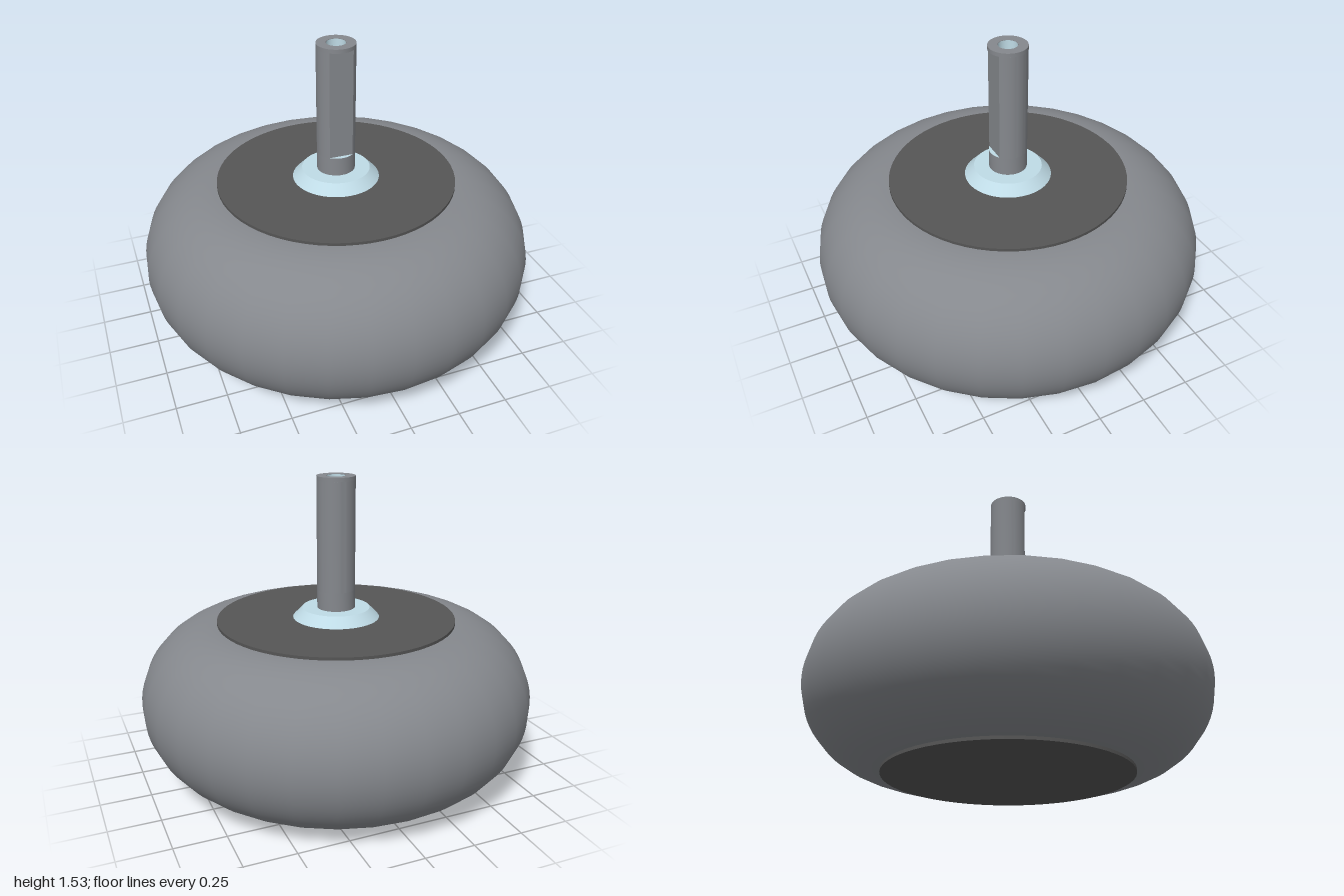
import * as THREE from 'three';
import { toCreasedNormals, mergeGeometries } from 'three/addons/utils/BufferGeometryUtils.js';

const mat = (color) => new THREE.MeshStandardMaterial({ color });

function add(group, name, geometry, material) {
  const mesh = new THREE.Mesh(geometry, material);
  mesh.name = name;
  group.add(mesh);
  return mesh;
}

const SHAFT_R = 0.096, BORE_R = 0.048, FLAT_Z = 0.075;
const FLAT_ANGLE = Math.acos(FLAT_Z / SHAFT_R);

// Vertical slice of the shaft; flat slices have the front (+z) cut away
function shaftSlice(y0, y1, flat, bored) {
  const shape = new THREE.Shape();
  // shape -y becomes model +z once the slice is stood upright
  const cut = flat ? FLAT_ANGLE : 0;
  shape.absarc(0, 0, SHAFT_R, -Math.PI / 2 + cut, Math.PI * 1.5 - cut, false);
  if (bored) {
    const hole = new THREE.Path();
    hole.absarc(0, 0, BORE_R, 0, Math.PI * 2, true);
    shape.holes.push(hole);
  }
  const geo = new THREE.ExtrudeGeometry(shape, { depth: y1 - y0, bevelEnabled: false, curveSegments: 24 });
  geo.rotateX(-Math.PI / 2);
  geo.translate(0, y0, 0);
  return toCreasedNormals(geo, 0.5);
}

export function createModel() {
  const model = new THREE.Group();
  model.name = 'wheelWithAxle';
  const grey = mat(0x85888d), dark = mat(0x555555), blue = mat(0xbfdbe6);

  // Rounded tyre, lying flat
  const profile = [new THREE.Vector2(0, 0.015)];
  for (let i = 0; i <= 32; i++) {
    const a = -Math.PI / 2 + (Math.PI * i) / 32;
    profile.push(new THREE.Vector2(0.6 + 0.4 * Math.cos(a), 0.408 + 0.393 * Math.sin(a)));
  }
  profile.push(new THREE.Vector2(0, 0.801));
  add(model, 'tyre', new THREE.LatheGeometry(profile, 32), grey);

  // Thin hub discs on both faces
  for (const [name, y] of [['lowerHubDisc', 0.0075], ['upperHubDisc', 0.8075]]) {
    add(model, name, new THREE.CylinderGeometry(0.606, 0.606, 0.015, 64), dark).position.y = y;
  }

  // Tapered collar under the shaft
  add(model, 'collar', new THREE.CylinderGeometry(0.172, 0.22, 0.05, 48), blue).position.y = 0.84;

  // Hollow shaft with a flat milled in its front
  const shaft = mergeGeometries([
    shaftSlice(0.865, 0.96, false, true),
    shaftSlice(0.96, 1.51, true, true),
    shaftSlice(1.51, 1.53, false, true),
  ]);
  add(model, 'shaft', shaft, grey);

  // Bore lining, facing inwards, down to the collar
  const bore = new THREE.LatheGeometry([
    new THREE.Vector2(BORE_R - 0.001, 1.529),
    new THREE.Vector2(BORE_R - 0.001, 0.866),
  ], 48);
  add(model, 'boreLining', bore, blue);

  // Ledge at the foot of the flat
  const segment = new THREE.Shape();
  segment.absarc(0, 0, SHAFT_R, -Math.PI / 2 - FLAT_ANGLE, -Math.PI / 2 + FLAT_ANGLE, false);
  const ledge = new THREE.ShapeGeometry(segment, 16);
  ledge.rotateX(-Math.PI / 2);
  add(model, 'flatLedge', ledge, blue).position.y = 0.961;

  return model;
}
